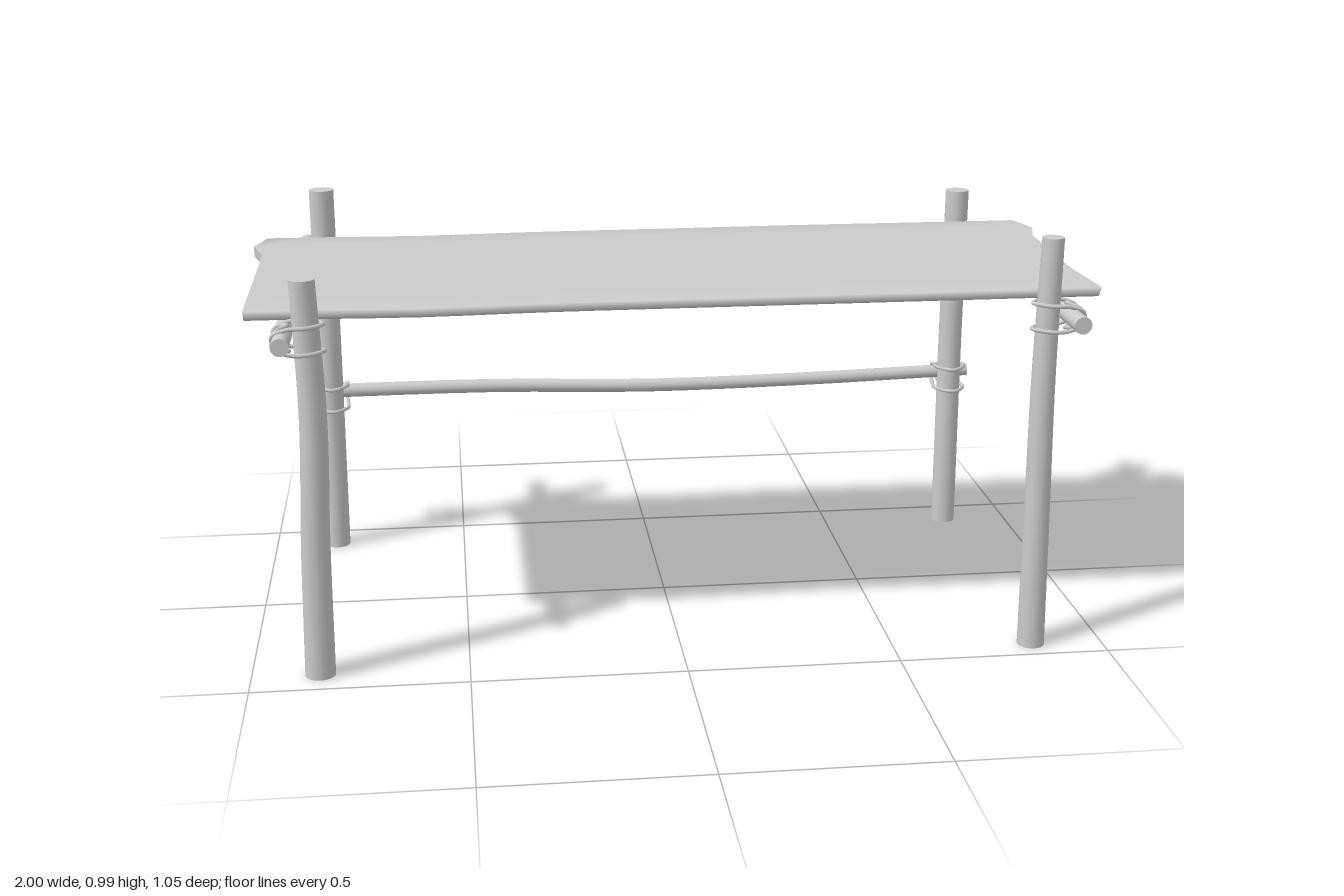
import * as THREE from 'three';
import { mergeVertices } from 'three/addons/utils/BufferGeometryUtils.js';

const material = new THREE.MeshStandardMaterial({ color: 0xcccccc });
const V = (x, y, z) => new THREE.Vector3(x, y, z);

function add(group, geometry, name) {
  const mesh = new THREE.Mesh(geometry, material);
  mesh.name = name;
  group.add(mesh);
  return mesh;
}

// A round pole following a gently bent path, tapering from r0 to r1
function pole(axis, points, r0, r1) {
  const curve = new THREE.CatmullRomCurve3(points);
  const turn = new THREE.Quaternion().setFromUnitVectors(V(0, 1, 0), axis);
  const g = new THREE.CylinderGeometry(1, 1, 1, 20, 16);
  const pos = g.attributes.position, nor = g.attributes.normal;
  for (let i = 0; i < pos.count; i++) {
    const t = pos.getY(i) + 0.5;
    const r = THREE.MathUtils.lerp(r0, r1, t);
    const p = V(pos.getX(i) * r, 0, pos.getZ(i) * r).applyQuaternion(turn).add(curve.getPoint(t));
    const n = V(nor.getX(i), nor.getY(i), nor.getZ(i)).applyQuaternion(turn);
    pos.setXYZ(i, p.x, p.y, p.z);
    nor.setXYZ(i, n.x, n.y, n.z);
  }
  return g;
}

// Two rope loops tying a pole (offset to local +x) to an upright at the origin
function lashing(name) {
  const group = new THREE.Group();
  group.name = name;
  for (const s of [1, -1]) {
    const half = [[0, -0.03, 0.037], [0.04, -0.028, 0.037], [0.073, -0.012, 0.032], [0.066, 0.02, 0.02]];
    const points = [
      V(-0.037, -0.03 * s, 0),
      ...half.map(([x, y, z]) => V(x, y * s, z)),
      V(0.04, 0.029 * s, 0),
      ...half.slice().reverse().map(([x, y, z]) => V(x, y * s, -z)),
    ];
    const path = new THREE.CatmullRomCurve3(points, true);
    add(group, new THREE.TubeGeometry(path, 56, 0.005, 6, true), 'ropeLoop');
  }
  return group;
}

// Thin padded top: smooth along the long edges, flat at the ends
function tableTop() {
  const box = new THREE.BoxGeometry(2, 1, 2, 20, 1, 8);
  const pos = box.attributes.position;
  const bump = (v, c, w) => Math.exp(-(((v - c) / w) ** 2));
  for (let i = 0; i < pos.count; i++) {
    const u = pos.getX(i), w = pos.getZ(i), low = pos.getY(i) < 0;
    const pull = Math.abs(u) ** 3;
    const edge = w > 0
      ? 0.37 + 0.014 * bump(u, -0.6, 0.2)
      : 0.371 - 0.014 * bump(u, -0.6, 0.2) + 0.005 * bump(u, 0.4, 0.3);
    const end = 0.972 + 0.028 * bump(w, -0.75, 0.15) - (u > 0 ? 0.012 * bump(w, 0.4, 0.4) : 0);
    const x = u * (0.972 + (end - 0.972) * pull);
    const z = w * edge * (low && Math.abs(w) > 0.95 ? 0.95 : 1);
    pos.setXYZ(i, x, low ? 0.827 : 0.852, z);
  }
  const index = Array.from(box.index.array);
  const split = box.groups[2].start;
  const part = (list, smooth) => {
    let g = new THREE.BufferGeometry();
    g.setAttribute('position', pos.clone());
    g.setIndex(list);
    if (smooth) g = mergeVertices(g, 1e-4);
    g.computeVertexNormals();
    return g;
  };
  return { body: part(index.slice(split), true), ends: part(index.slice(0, split), false) };
}

export function createModel() {
  const model = new THREE.Group();
  const UP = V(0, 1, 0), X = V(1, 0, 0), Z = V(0, 0, 1);

  // Four uneven legs
  add(model, pole(UP, [V(-0.843, 0, 0.42), V(-0.838, 0.31, 0.42), V(-0.828, 0.62, 0.42), V(-0.837, 0.935, 0.42)], 0.035, 0.029), 'frontRightLeg');
  add(model, pole(UP, [V(0.83, 0, 0.437), V(0.829, 0.33, 0.43), V(0.828, 0.66, 0.422), V(0.833, 0.985, 0.42)], 0.032, 0.025), 'frontLeftLeg');
  add(model, pole(UP, [V(-0.837, 0, -0.406), V(-0.835, 0.5, -0.406), V(-0.835, 0.968, -0.406)], 0.031, 0.031), 'backRightLeg');
  add(model, pole(UP, [V(0.83, 0, -0.406), V(0.828, 0.5, -0.406), V(0.83, 0.93, -0.406)], 0.031, 0.03), 'backLeftLeg');

  // Cross bars under each end of the top
  add(model, pole(Z, [V(-0.885, 0.805, -0.53), V(-0.885, 0.805, 0.505)], 0.02, 0.02), 'rightCrossBar');
  add(model, pole(Z, [V(0.88, 0.805, -0.5), V(0.88, 0.805, 0.525)], 0.02, 0.02), 'leftCrossBar');

  // Sagging rail along the back
  add(model, pole(X, [V(-0.91, 0.415, -0.457), V(-0.41, 0.415, -0.457), V(0, 0.402, -0.457), V(0.41, 0.405, -0.457), V(0.89, 0.418, -0.457)], 0.018, 0.017), 'backRail');

  // Rope lashings at every joint
  for (const s of [1, -1]) {
    for (const z of [0.42, -0.406]) {
      const tie = lashing('cornerLashing');
      tie.position.set(0.832 * s, 0.803, z);
      tie.rotation.y = s > 0 ? 0 : Math.PI;
      model.add(tie);
    }
    const tie = lashing('railLashing');
    tie.position.set(0.832 * s, 0.412, -0.406);
    tie.rotation.y = Math.PI / 2;
    model.add(tie);
  }

  // Top
  const top = new THREE.Group();
  top.name = 'tableTop';
  const { body, ends } = tableTop();
  add(top, body, 'topSheet');
  add(top, ends, 'topEnds');
  model.add(top);

  return model;
}
